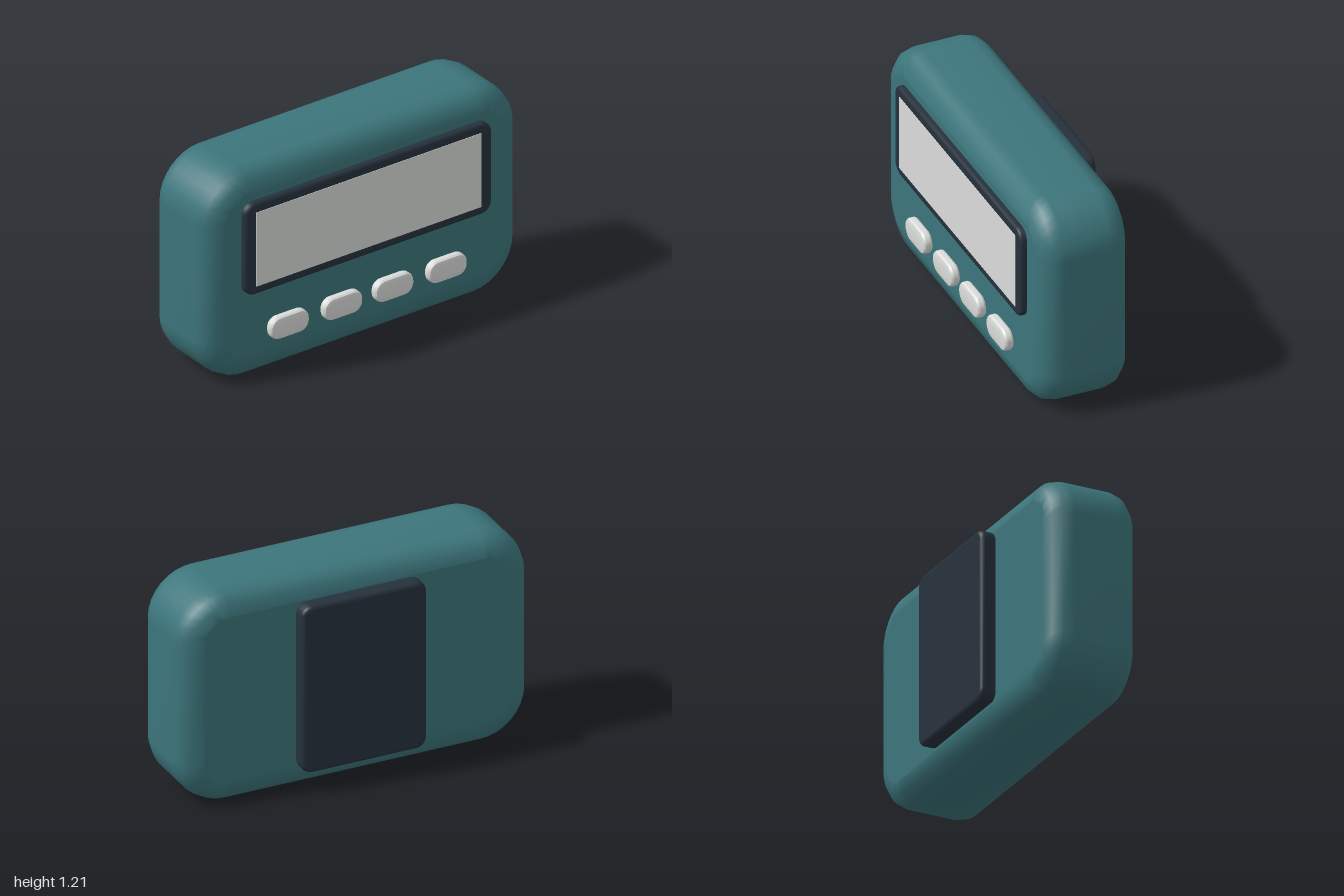
import * as THREE from 'three';
import { mergeVertices, toCreasedNormals } from 'three/addons/utils/BufferGeometryUtils.js';

const material = (name, color) => {
  const m = new THREE.MeshStandardMaterial({ color });
  m.name = name;
  return m;
};

// Rounded rectangle centred on the origin
function roundedRect(w, h, r) {
  const x = w / 2, y = h / 2, s = new THREE.Shape();
  s.absarc(x - r, y - r, r, 0, Math.PI / 2);
  s.absarc(-x + r, y - r, r, Math.PI / 2, Math.PI);
  s.absarc(-x + r, -y + r, r, Math.PI, Math.PI * 1.5);
  s.absarc(x - r, -y + r, r, Math.PI * 1.5, Math.PI * 2);
  s.closePath();
  return s;
}

// Slab with rounded corners and bevelled rims, given by its outer limits
function slab(name, mat, { x = 0, w, y0, y1, z0, z1, radius, bevel, depth = bevel, steps, sides, crease }) {
  const shape = roundedRect(w - 2 * bevel, y1 - y0 - 2 * bevel, radius - bevel);
  let geo = new THREE.ExtrudeGeometry(shape, {
    depth: z1 - z0 - 2 * depth, steps: 1, curveSegments: sides,
    bevelEnabled: true, bevelSize: bevel, bevelThickness: depth, bevelSegments: steps,
  });
  if (crease) {
    geo = toCreasedNormals(geo, crease);
  } else {
    geo.deleteAttribute('normal');
    geo.deleteAttribute('uv');
    geo = mergeVertices(geo, 1e-4);
    geo.computeVertexNormals();
  }
  const mesh = new THREE.Mesh(geo, mat);
  mesh.name = name;
  mesh.position.set(x, (y0 + y1) / 2, z0 + depth);
  return mesh;
}

export function createModel() {
  const teal = material('teal casing', 0x3c757b);
  const dark = material('dark plastic', 0x26313c);
  const grey = material('pale grey', 0xdadcda);
  const group = new THREE.Group();
  group.name = 'pocketDevice';

  // Casing
  group.add(slab('casing', teal, {
    w: 2, y0: 0, y1: 1.213, z0: -0.23, z1: 0.27, radius: 0.27, bevel: 0.12, steps: 3, sides: 4,
  }));

  // Screen surround and the flat screen on it
  group.add(slab('screenFrame', dark, {
    w: 1.57, y0: 0.512, y1: 1.047, z0: 0.24, z1: 0.305, radius: 0.065, bevel: 0.015, steps: 2, sides: 4,
  }));
  const screen = new THREE.Mesh(new THREE.BoxGeometry(1.434, 0.434, 0.006), grey);
  screen.name = 'screen';
  screen.position.set(0, 0.777, 0.305);
  group.add(screen);

  // Row of buttons
  const buttons = new THREE.Group();
  buttons.name = 'buttons';
  [-0.505, -0.165, 0.16, 0.5].forEach((x, i) => {
    buttons.add(slab(`button${i + 1}`, grey, {
      x, w: 0.245, y0: 0.205, y1: 0.334, z0: 0.265, z1: 0.32,
      radius: 0.06, bevel: 0.022, depth: 0.015, steps: 2, sides: 3, crease: 0.5,
    }));
  });
  group.add(buttons);

  // Belt clip on the back
  group.add(slab('beltClip', dark, {
    w: 0.715, y0: 0.125, y1: 1.092, z0: -0.318, z1: -0.228, radius: 0.06, bevel: 0.022, steps: 3, sides: 4,
  }));

  return group;
}
